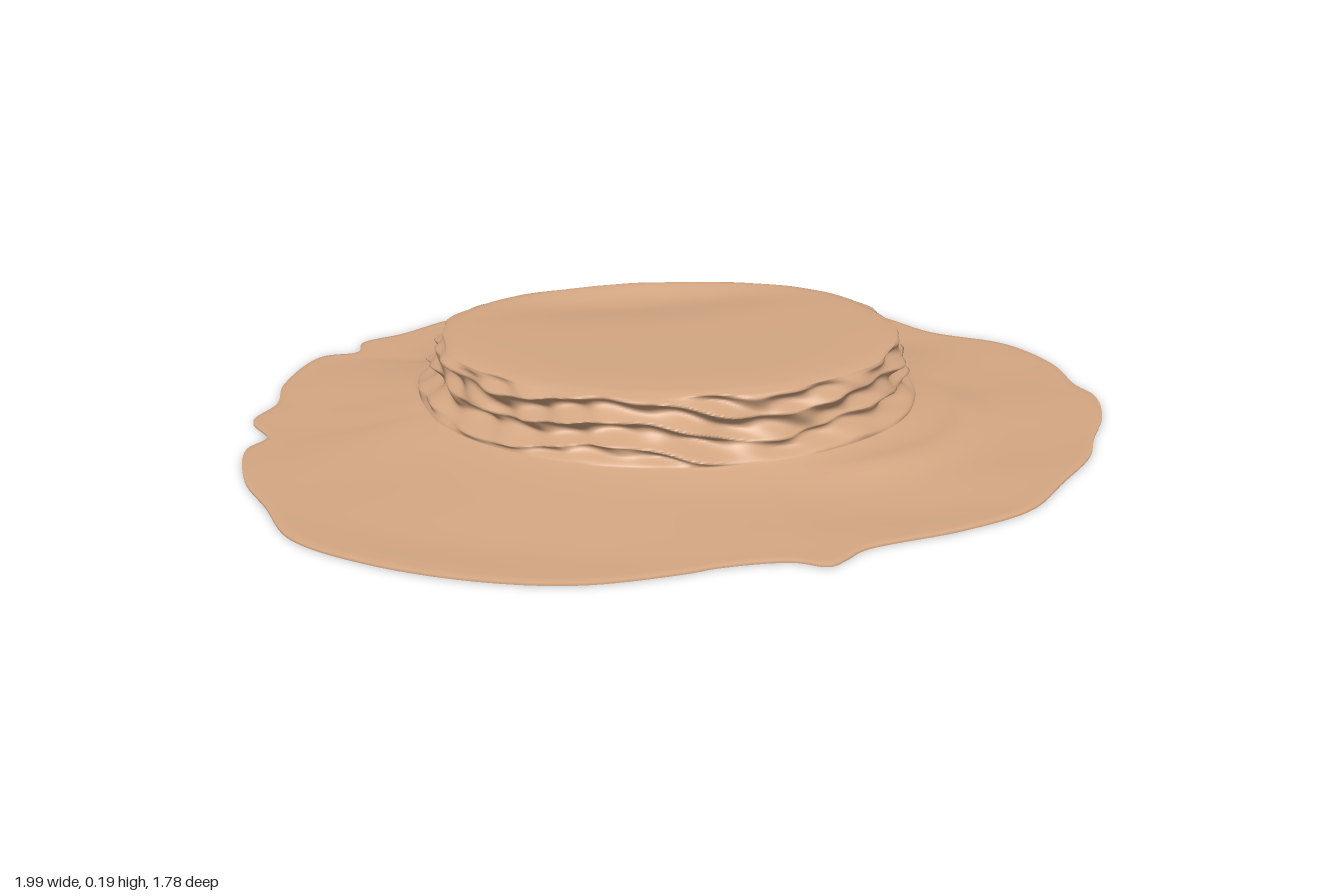
import * as THREE from 'three';

// Plan outlines as [x, z, x, z, ...]
const RIM = [
  0.99, -0.10, 0.975, 0.06, 0.985, 0.14, 0.94, 0.27, 0.86, 0.39, 0.80, 0.49, 0.68, 0.61,
  0.55, 0.73, 0.38, 0.79, 0.16, 0.83, 0.11, 0.865, 0.07, 0.885, 0.01, 0.85, -0.13, 0.84,
  -0.20, 0.85, -0.40, 0.85, -0.58, 0.79, -0.77, 0.67, -0.91, 0.52, -0.955, 0.35, -0.995, 0.20,
  -0.99, 0.02, -0.945, -0.04, -0.975, -0.16, -0.92, -0.26, -0.90, -0.40, -0.80, -0.595,
  -0.71, -0.61, -0.69, -0.69, -0.585, -0.74, -0.45, -0.835, -0.29, -0.89, -0.225, -0.845,
  -0.035, -0.895, 0.11, -0.875, 0.255, -0.81, 0.37, -0.825, 0.54, -0.72, 0.70, -0.595,
  0.79, -0.42, 0.94, -0.28,
];
const MESA = [
  0.515, -0.05, 0.485, 0.11, 0.38, 0.27, 0.19, 0.375, 0.0, 0.40, -0.24, 0.345, -0.41, 0.22,
  -0.52, 0.04, -0.535, -0.13, -0.50, -0.28, -0.38, -0.40, -0.22, -0.46, -0.03, -0.48,
  0.16, -0.45, 0.32, -0.39, 0.42, -0.31, 0.49, -0.18,
];
const CX = -0.02, CZ = -0.04; // mesa centre
const COLS = 360, FOOT = 0.04, TOP = 0.186, EDGE = 0.006;

const closedCurve = (a) => {
  const pts = [];
  for (let i = 0; i < a.length; i += 2) pts.push(new THREE.Vector3(a[i], 0, a[i + 1]));
  return new THREE.CatmullRomCurve3(pts, true, 'centripetal');
};

// Radius of the mesa outline for any angle about its centre
function radiusLookup(curve) {
  const s = curve.getPoints(400).slice(0, -1)
    .map((p) => [Math.atan2(p.z - CZ, p.x - CX), Math.hypot(p.x - CX, p.z - CZ)])
    .sort((p, q) => p[0] - q[0]);
  return (a) => {
    let i = s.findIndex((p) => p[0] > a);
    if (i < 0) i = 0;
    const lo = s[(i + s.length - 1) % s.length], hi = s[i];
    const span = (hi[0] - lo[0] + 2 * Math.PI) % (2 * Math.PI);
    const t = ((a - lo[0] + 2 * Math.PI) % (2 * Math.PI)) / span;
    return lo[1] + (hi[1] - lo[1]) * t;
  };
}

const smooth = THREE.MathUtils.smoothstep;

// Eroded rock strata: how far the cliff stands out from the top outline
function cliffOffset(a, y) {
  const fade = smooth(y, FOOT, 0.06) * (1 - smooth(y, 0.165, TOP));
  const phase = y * 62 + 1.1 * Math.sin(2 * a) + 0.9 * Math.sin(5 * a + 1);
  const ledge = (1 - 1.6 * Math.abs(Math.sin(phase))) * 0.022 * (0.75 + 0.35 * Math.sin(3 * a + 2));
  const chips = 0.007 * Math.sin(11 * a + y * 70) + 0.005 * Math.sin(23 * a - y * 110);
  const flare = 0.045 * (1 - smooth(y, FOOT, 0.085));
  const back = Math.max(0, -Math.sin(a)) * 0.05 * (1 - smooth(y, 0.10, TOP));
  return fade * (ledge + chips) + flare + back + 0.006;
}

// Low drifts on the apron
function drift(x, z) {
  const d = Math.hypot(x - 0.22, z - 0.05);
  const a = Math.atan2(z - 0.05, x - 0.22);
  const ridge = Math.exp(-(((d - 0.44) / 0.045) ** 2)) * smooth(a, -0.1, 0.4) * (1 - smooth(a, 1.3, 1.8));
  return 0.01 * ridge + 0.0035 * Math.sin(7 * x + 2 * Math.sin(5 * z)) * Math.sin(6 * z + 1);
}

// Nearly flat top with a shallow hollow towards the back
function topHeight(x, z, f) {
  const hollow = 0.026 * Math.exp(-(((x + 0.02) / 0.32) ** 2) - ((z + 0.34) / 0.14) ** 2);
  const inside = 1 - smooth(f, 0.8, 1);
  return TOP + inside * (0.003 - hollow) - 0.006 * smooth(f, 0.95, 1);
}

function rockGeometry(rim) {
  const mesaRadius = radiusLookup(closedCurve(MESA));
  const columns = rim.map((p) => {
    const a = Math.atan2(p.z - CZ, p.x - CX);
    return { a, outer: Math.hypot(p.x - CX, p.z - CZ), r: mesaRadius(a) };
  });
  const pos = [], index = [];
  let rows = 0;
  const addRow = (fn) => {
    for (const c of columns) {
      const [r, height] = fn(c);
      const x = CX + r * Math.cos(c.a), z = CZ + r * Math.sin(c.a);
      pos.push(x, typeof height === 'function' ? height(x, z) : height, z);
    }
    rows++;
  };

  // thin outer edge
  addRow((c) => [c.outer, 0]);
  // sloping apron, outside to inside
  const APRON = 22;
  for (let i = 0; i <= APRON; i++) {
    const t = 1 - i / APRON;
    addRow((c) => {
      const inner = c.r + cliffOffset(c.a, FOOT);
      const y = EDGE + (FOOT - EDGE) * (1 - t) ** 2.8;
      const weight = smooth(t, 0, 0.2) * (1 - smooth(t, 0.7, 1));
      return [inner + (c.outer - inner) * t, (x, z) => y + weight * drift(x, z)];
    });
  }
  // layered cliff
  const CLIFF = 44;
  for (let i = 1; i <= CLIFF; i++) {
    const y = FOOT + (TOP - 0.006 - FOOT) * (i / CLIFF);
    addRow((c) => [c.r + cliffOffset(c.a, y) - 0.006 * smooth(i, CLIFF - 3, CLIFF), y]);
  }
  // top surface
  for (const f of [0.985, 0.965, 0.93, 0.88, 0.82, 0.75, 0.67, 0.58, 0.48, 0.37, 0.25, 0.12, 0.001]) {
    addRow((c) => [c.r * f, (x, z) => topHeight(x, z, f)]);
  }

  for (let r = 0; r < rows - 1; r++) {
    for (let c = 0; c < COLS; c++) {
      const n = (c + 1) % COLS;
      const p = r * COLS + c, q = r * COLS + n;
      index.push(p, p + COLS, q, q, p + COLS, q + COLS);
    }
  }
  const g = new THREE.BufferGeometry();
  g.setAttribute('position', new THREE.Float32BufferAttribute(pos, 3));
  g.setIndex(index);
  g.computeVertexNormals();
  return g;
}

export function createModel() {
  const group = new THREE.Group();
  group.name = 'rockMesa';
  const material = new THREE.MeshStandardMaterial({ color: 0xd3a682 });
  const rim = closedCurve(RIM).getSpacedPoints(COLS).slice(0, -1);

  // apron, cliff and top as one continuous skin
  const rock = new THREE.Mesh(rockGeometry(rim), material);
  rock.name = 'mesaAndApron';
  group.add(rock);

  // flat underside
  const shape = new THREE.Shape(rim.map((p) => new THREE.Vector2(p.x, p.z)));
  const base = new THREE.Mesh(new THREE.ShapeGeometry(shape).rotateX(Math.PI / 2), material);
  base.name = 'underside';
  group.add(base);
  return group;
}
